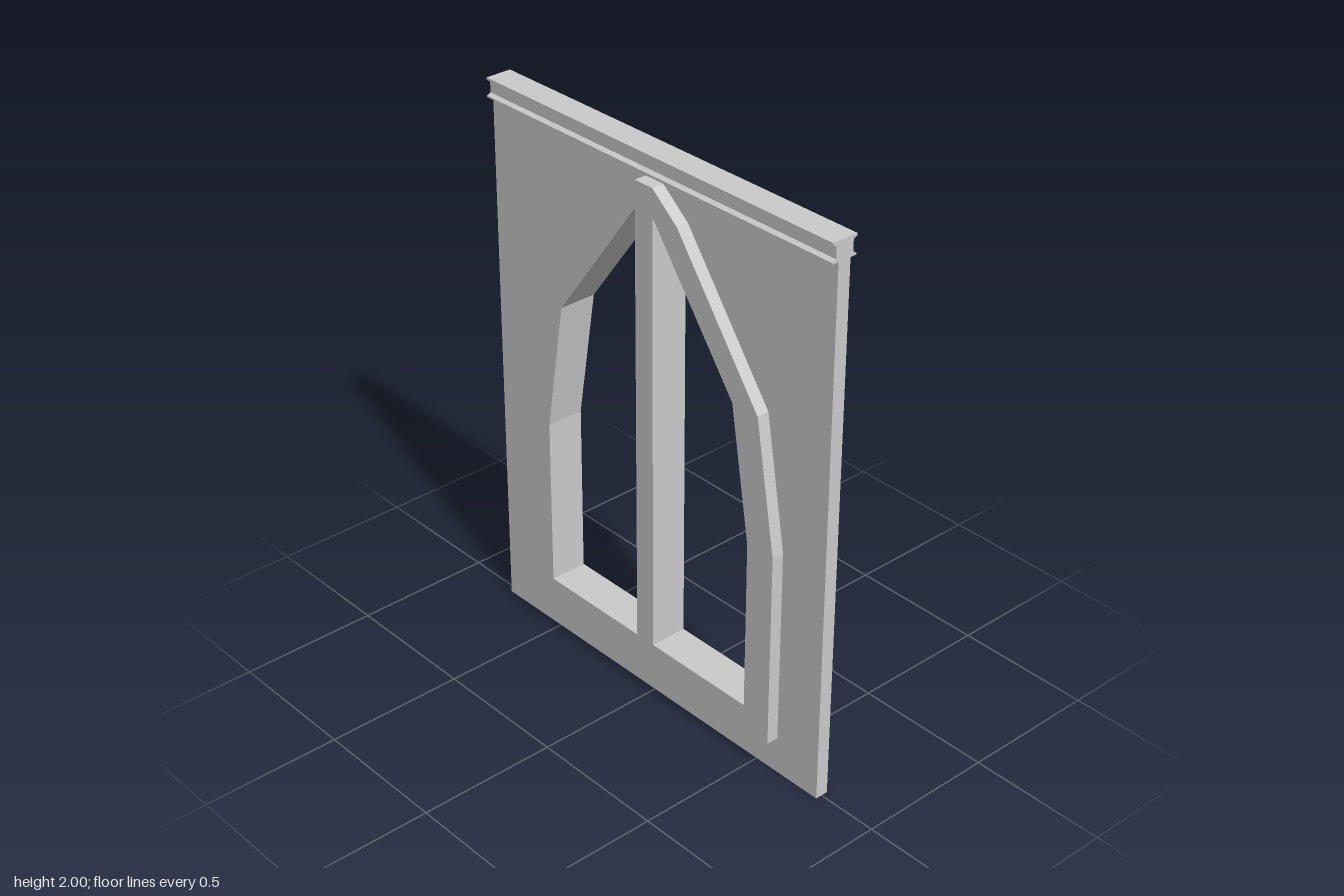
import * as THREE from 'three';

const HALF_WIDTH = 0.777;

// Half outlines (right of the centre line), from bottom to top
const OUTER = [[0.593, 0.137], [0.593, 0.855], [0.513, 1.326], [0.15, 1.822], [0.04, 1.911]];
const OPENING = [[0.04, 0.228], [0.48, 0.228], [0.48, 0.85], [0.402, 1.326], [0.04, 1.815]];

const toPoints = (list, sx = 1) => list.map(([x, y]) => new THREE.Vector2(sx * x, y));
const mirrored = (list) => [...toPoints(list), ...toPoints(list, -1).reverse()];

export function createModel() {
  const group = new THREE.Group();
  const material = new THREE.MeshStandardMaterial({ color: 0xcccccc, flatShading: true });

  // Extrude a shape with holes, centred on z = 0
  function slab(name, outline, holes, depth) {
    const shape = new THREE.Shape(outline);
    holes.forEach((h) => shape.holes.push(new THREE.Path(h)));
    const geometry = new THREE.ExtrudeGeometry(shape, { depth, bevelEnabled: false });
    geometry.translate(0, 0, -depth / 2);
    const mesh = new THREE.Mesh(geometry, material);
    mesh.name = name;
    group.add(mesh);
    return mesh;
  }

  // Thin wall, cut out to receive the window frame
  slab('wall', mirrored([[HALF_WIDTH, 0], [HALF_WIDTH, 1.932]]), [mirrored(OUTER)], 0.048);

  // Thick pointed frame; the bar between its two openings is the mullion
  slab('windowFrame', mirrored(OUTER), [toPoints(OPENING), toPoints(OPENING, -1)], 0.137);

  // Moulded top rail: its section is extruded along the width of the wall
  const section = [
    [0.024, 1.932], [0.048, 1.932], [0.048, 1.937], [0.034, 1.945],
    [0.034, 1.985], [0.048, 1.992], [0.048, 2],
  ];
  const rail = slab('topRail', mirrored(section), [], HALF_WIDTH * 2);
  rail.rotation.y = Math.PI / 2;

  return group;
}
